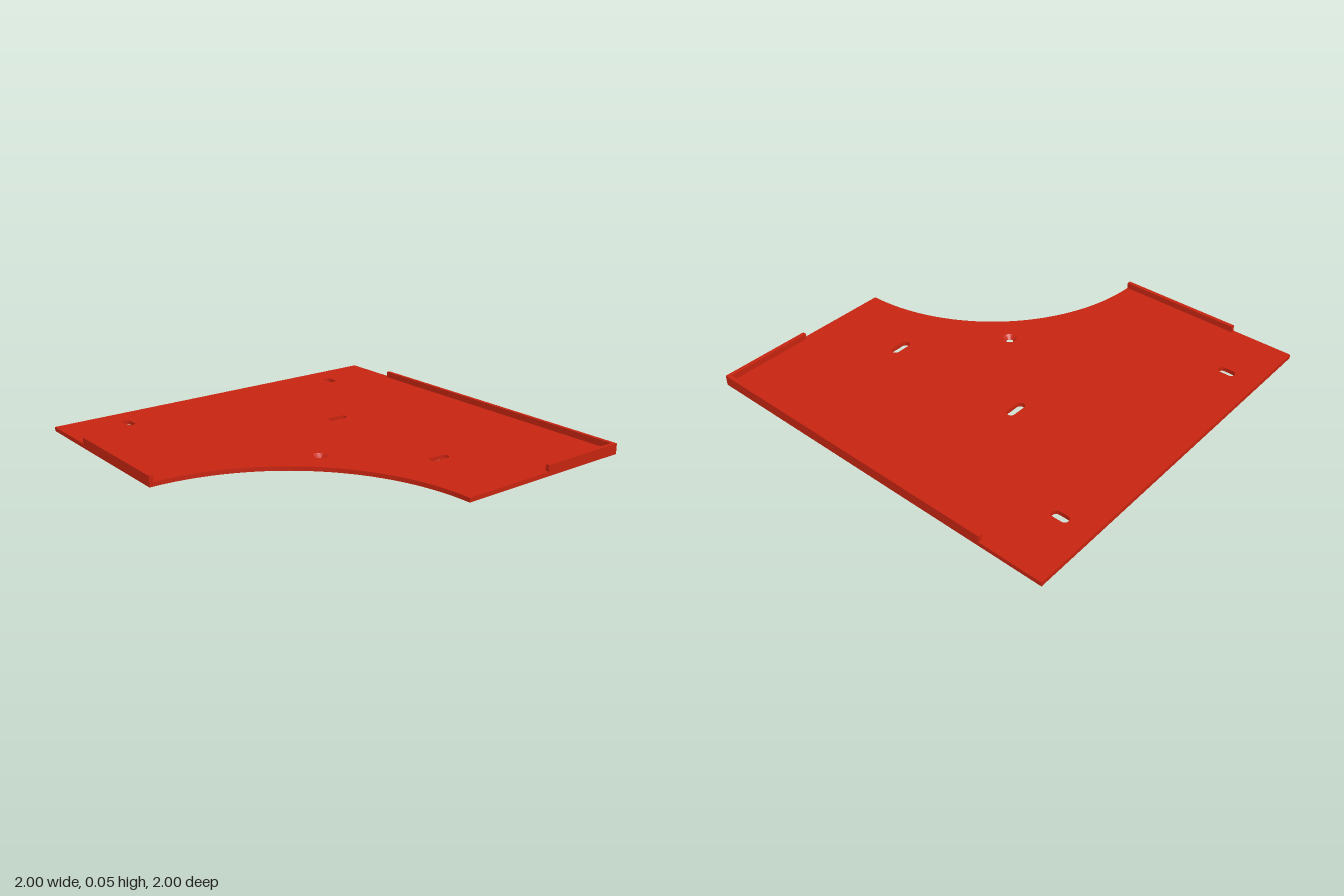
import * as THREE from 'three';
import { toCreasedNormals } from 'three/addons/utils/BufferGeometryUtils.js';

const T = 0.022;    // plate thickness
const LIP_H = 0.055; // lip height from the ground
const LIP_W = 0.02;  // lip thickness

// Rounded slot outline; plan z is mirrored into shape y
function slot(x, z, halfLength, r, alongX) {
  const p = new THREE.Path();
  const d = halfLength - r;
  const a = alongX ? 0 : Math.PI / 2;
  const dx = alongX ? d : 0, dy = alongX ? 0 : d;
  p.absarc(x + dx, -z + dy, r, a - Math.PI / 2, a + Math.PI / 2, false);
  p.absarc(x - dx, -z - dy, r, a + Math.PI / 2, a + Math.PI * 1.5, false);
  p.closePath();
  return p;
}

export function createModel() {
  const group = new THREE.Group();
  const red = new THREE.MeshStandardMaterial({ color: 0xc62410 });
  red.name = 'red';

  const add = (name, geometry, x = 0, y = 0, z = 0) => {
    const mesh = new THREE.Mesh(geometry, red);
    mesh.name = name;
    mesh.position.set(x, y, z);
    group.add(mesh);
  };

  // Square plate with a quarter circle cut from the front right corner
  const outline = new THREE.Shape();
  outline.moveTo(0, -1);
  outline.lineTo(1, -1);
  outline.lineTo(1, 1);
  outline.lineTo(-1, 1);
  outline.lineTo(-1, 0);
  outline.absarc(-1, -1, 1, Math.PI / 2, 0, true);

  // Mounting slots
  for (const s of [-1, 1]) outline.holes.push(slot(s * 0.666, -0.829, 0.044, 0.022, false));
  for (const z of [-0.222, 0.555]) outline.holes.push(slot(0.243, z, 0.056, 0.022, true));

  // Opening for the countersunk screw hole
  const hx = -0.184, hz = 0.182, outer = 0.037, inner = 0.018;
  const opening = new THREE.Path();
  opening.absarc(hx, -hz, outer, 0, Math.PI * 2, false);
  outline.holes.push(opening);

  const plate = new THREE.ExtrudeGeometry(outline, { depth: T, bevelEnabled: false, curveSegments: 32 });
  plate.rotateX(-Math.PI / 2);
  add('plate', toCreasedNormals(plate, 0.5));

  // Tapered wall and underside of the screw hole
  const sink = new THREE.LatheGeometry([
    new THREE.Vector2(outer, T),
    new THREE.Vector2(inner, 0.003),
    new THREE.Vector2(inner, 0),
    new THREE.Vector2(outer, 0),
  ], 32);
  add('countersink', toCreasedNormals(sink, 0.5), hx, 0, hz);

  // Raised lips standing on the plate edges
  const lip = (name, x0, x1, z0, z1) => add(name,
    new THREE.BoxGeometry(x1 - x0, LIP_H - T, z1 - z0),
    (x0 + x1) / 2, (T + LIP_H) / 2, (z0 + z1) / 2);
  lip('leftLip', 1 - LIP_W, 1, -0.667, 1);
  lip('rightLip', -1, -1 + LIP_W, -0.667, 0);
  lip('frontLip', 0.508, 1 - LIP_W, 1 - LIP_W, 1);

  return group;
}
